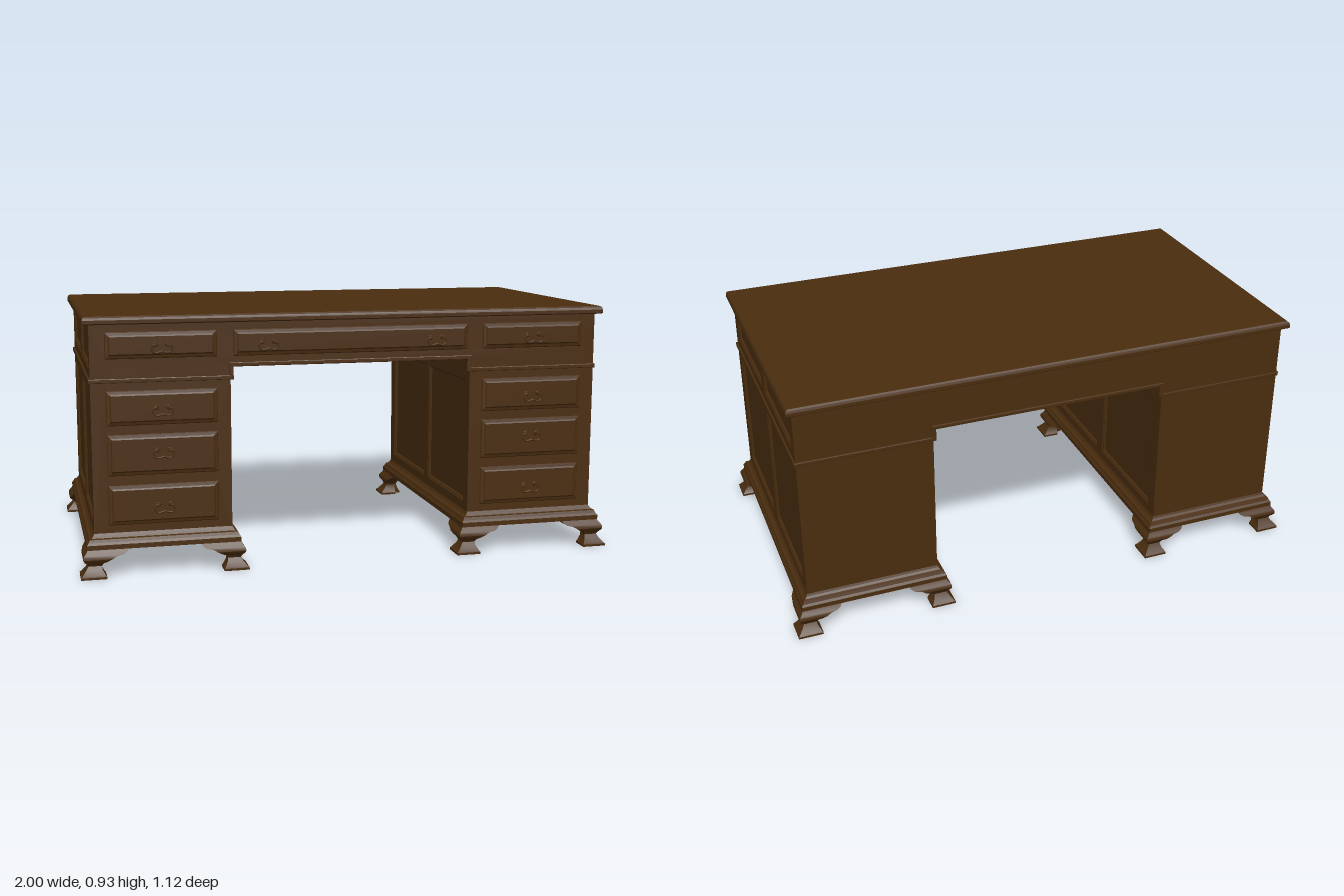
import * as THREE from 'three';
import { toCreasedNormals } from 'three/addons/utils/BufferGeometryUtils.js';

const wood = new THREE.MeshStandardMaterial({ color: 0x4a2d0f, side: THREE.DoubleSide });
wood.name = 'dark walnut';

// Body measures
const HX = 0.945, HZ = 0.505, INNER = 0.45, BASE = 0.15, TOP = 0.895;
const PED_X = (HX + INNER) / 2, PED_HALF = (HX - INNER) / 2;

function mesh(name, geometry) {
  const m = new THREE.Mesh(geometry, wood);
  m.name = name;
  return m;
}

function fromTriangles(pos) {
  const g = new THREE.BufferGeometry();
  g.setAttribute('position', new THREE.Float32BufferAttribute(pos, 3));
  g.computeVertexNormals();
  return g;
}

// Nested rectangles [offset, z] joined into a stepped moulding facing +z
function rectLoft(hw, hh, sections, capped = true) {
  const loops = sections.map(([o, z]) => {
    const x = hw + o, y = hh + o;
    return [[-x, -y, z], [x, -y, z], [x, y, z], [-x, y, z]];
  });
  const pos = [];
  const quad = (a, b, c, d) => pos.push(...a, ...b, ...c, ...a, ...c, ...d);
  for (let k = 0; k < loops.length - 1; k++) {
    for (let i = 0; i < 4; i++) {
      const j = (i + 1) % 4;
      quad(loops[k][i], loops[k][j], loops[k + 1][j], loops[k + 1][i]);
    }
  }
  if (capped) quad(...loops[loops.length - 1]);
  return fromTriangles(pos);
}

// Flat wall with an opening for each panel or drawer, given as [x0, x1, y0, y1]
function wall(name, outline, openings = [], partName = '', sections = []) {
  const group = new THREE.Group();
  group.name = name;
  const shape = new THREE.Shape(outline.map(([x, y]) => new THREE.Vector2(x, y)));
  for (const [x0, x1, y0, y1] of openings) {
    shape.holes.push(new THREE.Path([[x0, y0], [x0, y1], [x1, y1], [x1, y0]].map(p => new THREE.Vector2(...p))));
    const part = mesh(partName, rectLoft((x1 - x0) / 2, (y1 - y0) / 2, sections));
    part.position.set((x0 + x1) / 2, (y0 + y1) / 2, 0);
    group.add(part);
  }
  group.add(mesh(name + 'Frame', new THREE.ShapeGeometry(shape)));
  return group;
}

const rect = (x0, x1, y0, y1) => [[x0, y0], [x1, y0], [x1, y1], [x0, y1]];
const RECESS = [[0, 0], [-0.003, -0.003], [-0.008, -0.004], [-0.012, -0.01]];
const RAISED = [[0, 0], [-0.003, 0.004], [-0.012, 0.006], [-0.017, 0.01]];

// Bail pull with two round posts
function makeHandle() {
  const handle = new THREE.Group();
  handle.name = 'drawerPull';
  const points = [[-0.02, 0.013], [-0.031, 0.01], [-0.035, -0.003], [-0.026, -0.015], [-0.012, -0.015], [0, -0.011]];
  const half = points.map(([x, y]) => new THREE.Vector3(x, y, 0.011));
  const other = half.slice(0, -1).reverse().map(p => new THREE.Vector3(-p.x, p.y, p.z));
  const curve = new THREE.CatmullRomCurve3([...half, ...other]);
  handle.add(mesh('bail', new THREE.TubeGeometry(curve, 32, 0.0035, 8)));
  for (const s of [-1, 1]) {
    const rose = mesh('rose', new THREE.CylinderGeometry(0.006, 0.009, 0.004, 12).rotateX(Math.PI / 2));
    rose.position.set(s * 0.022, 0.012, 0.002);
    const post = mesh('post', new THREE.CylinderGeometry(0.004, 0.004, 0.014, 10).rotateX(Math.PI / 2));
    post.position.set(s * 0.022, 0.012, 0.007);
    handle.add(rose, post);
  }
  return handle;
}

// Ogee bracket foot: L-shaped cross-sections as [height, outward flare, arm length]
function footGeometry() {
  const rows = [
    [0, 0.053, 0.038], [0.008, 0.053, 0.038], [0.012, 0.048, 0.034], [0.03, 0.033, 0.024],
    [0.042, 0.026, 0.022], [0.052, 0.031, 0.028], [0.06, 0.039, 0.045], [0.068, 0.043, 0.06],
    [0.078, 0.042, 0.075], [0.083, 0.039, 0.1], [0.09, 0.033, 0.112], [0.1, 0.027, 0.118],
  ];
  const t = 0.012;
  const loops = rows.map(([y, o, L]) =>
    [[-o, -o], [L, -o], [L, t], [t, t], [t, L], [-o, L]].map(([x, z]) => [x, y, z]));
  const pos = [];
  const quad = (a, b, c, d) => pos.push(...a, ...b, ...c, ...a, ...c, ...d);
  for (let k = 0; k < loops.length - 1; k++) {
    for (let i = 0; i < 6; i++) {
      const j = (i + 1) % 6;
      quad(loops[k][i], loops[k + 1][i], loops[k + 1][j], loops[k][j]);
    }
  }
  const b = loops[0], u = loops[loops.length - 1];
  quad(b[0], b[1], b[2], b[3]);
  quad(b[0], b[3], b[4], b[5]);
  quad(u[3], u[2], u[1], u[0]);
  quad(u[5], u[4], u[3], u[0]);
  return toCreasedNormals(fromTriangles(pos), 0.5);
}

export function createModel() {
  const desk = new THREE.Group();
  desk.name = 'pedestalDesk';

  // Desktop with rounded upper edge
  const top = mesh('desktop', rectLoft(HX, HZ, [
    [-0.5, TOP], [0.018, TOP], [0.023, 0.899], [0.023, 0.911], [0.02, 0.919], [0.014, 0.924], [0.008, 0.925],
  ]));
  top.rotation.x = -Math.PI / 2;
  desk.add(top);

  // Front and back walls arch over the kneehole
  const arch = [[-HX, BASE], [-INNER, BASE], [-INNER, 0.7], [-0.44, 0.7], [-0.44, 0.745],
    [0.44, 0.745], [0.44, 0.7], [INNER, 0.7], [INNER, BASE], [HX, BASE], [HX, TOP], [-HX, TOP]];
  const rows = [[0.18, 0.323, 0.238], [0.358, 0.505, 0.436], [0.537, 0.661, 0.588], [0.773, 0.868, 0.81]];
  const drawers = [[-0.439, 0.439, 0.773, 0.868]];
  const pulls = [[-0.315, 0.81], [0.315, 0.81]];
  for (const s of [-1, 1]) {
    for (const [y0, y1, pullY] of rows) {
      drawers.push([s * 0.695 - 0.197, s * 0.695 + 0.197, y0, y1]);
      pulls.push([s * 0.695, pullY]);
    }
  }
  const front = wall('front', arch, drawers, 'drawerFront', RAISED);
  front.position.z = HZ;
  const back = wall('back', arch);
  back.position.z = -HZ;
  back.rotation.y = Math.PI;
  desk.add(front, back);
  for (const [x, y] of pulls) {
    const pull = makeHandle();
    pull.position.set(x, y, HZ + 0.01);
    desk.add(pull);
  }

  // Waist moulding, stepping up to form the kneehole soffit
  const edge = [[-0.949, 0.692], [-0.442, 0.692], [-0.442, 0.738], [0.442, 0.738], [0.442, 0.692], [0.949, 0.692],
    [0.949, 0.702], [0.452, 0.702], [0.452, 0.748], [-0.452, 0.748], [-0.452, 0.702], [-0.949, 0.702]];
  const waist = mesh('waistMoulding', new THREE.ExtrudeGeometry(
    new THREE.Shape(edge.map(p => new THREE.Vector2(...p))),
    { depth: 1.012, bevelThickness: 0.003, bevelSize: 0.003, bevelSegments: 2 }));
  waist.position.z = -0.506;
  desk.add(waist);

  // Panelled sides, pedestal bases and feet
  const lower = [[-0.455, -0.025, 0.185, 0.655], [0.025, 0.455, 0.185, 0.655]];
  const upper = lower.map(([a, b]) => [a, b, 0.738, 0.87]);
  const foot = footGeometry();
  const corners = [[-1, -1], [-1, 1], [1, 1], [1, -1]];
  for (const s of [-1, 1]) {
    const outer = wall('outerSide', rect(-HZ, HZ, BASE, TOP), [...lower, ...upper], 'sidePanel', RECESS);
    outer.position.x = s * HX;
    outer.rotation.y = s * Math.PI / 2;
    const inner = wall('kneeholeSide', rect(-HZ, HZ, BASE, 0.695), lower, 'kneeholePanel', RECESS);
    inner.position.x = s * INNER;
    inner.rotation.y = -s * Math.PI / 2;

    const base = mesh('baseMoulding', rectLoft(PED_HALF, HZ, [
      [-0.012, 0.155], [-0.012, 0.1], [0.028, 0.1], [0.028, 0.117], [0.022, 0.125],
      [0.018, 0.135], [0.01, 0.138], [0.004, 0.145], [0, 0.153],
    ], false));
    base.rotation.x = -Math.PI / 2;
    base.position.x = s * PED_X;
    desk.add(outer, inner, base);

    corners.forEach(([cx, cz], k) => {
      const f = mesh('bracketFoot', foot);
      f.position.set(s * PED_X + cx * PED_HALF, 0, cz * HZ);
      f.rotation.y = k * Math.PI / 2;
      desk.add(f);
    });
  }
  return desk;
}
